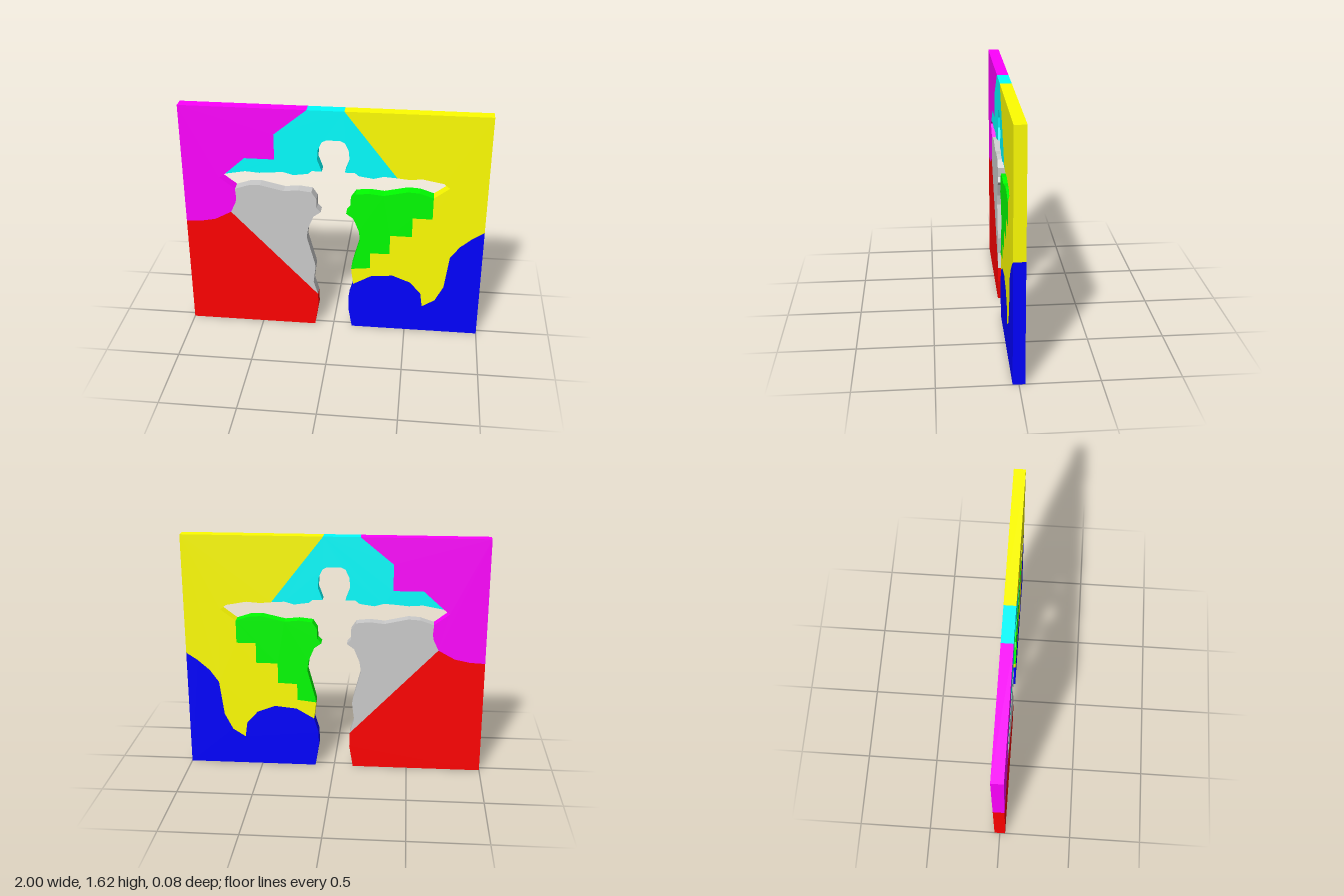
import * as THREE from 'three';

const DEPTH = 0.076, TOP = 1.615;

// Half of the figure-shaped opening, from the foot up to the crown (+x side)
const half = [
  [0.13, 0], [0.105, 0.15], [0.107, 0.25], [0.137, 0.35], [0.122, 0.47], [0.127, 0.5],
  [0.18, 0.7], [0.17, 0.77], [0.133, 0.86], [0.085, 0.895], [0.112, 0.925], [0.112, 0.99],
  [0.145, 1.04], [0.235, 1.05], [0.33, 1.04], [0.487, 1.075], [0.565, 1.07], [0.655, 1.04],
  [0.755, 1.115], [0.715, 1.147], [0.58, 1.172], [0.487, 1.165], [0.415, 1.172], [0.327, 1.178],
  [0.262, 1.16], [0.166, 1.174], [0.14, 1.195], [0.075, 1.195], [0.105, 1.275], [0.1, 1.345],
  [0.075, 1.4], [0.045, 1.415],
];
const leftSide = (a, b) => half.slice(a, b + 1);
const rightSide = (a, b) => leftSide(a, b).map(([x, y]) => [-x, y]);
const rev = (points) => [...points].reverse();

// Seams shared by neighbouring pieces
const curvedSeam = [[-1, 0.78], [-0.9, 0.785], [-0.8, 0.805], [-0.69, 0.865]];
const wristSeam = [[-0.69, 0.865], [-0.655, 0.94], [-0.65, 0.975], [-0.655, 1.04]];
const upperSeam = [[-0.583, 1.265], [-0.385, 1.265], [-0.385, 1.44], [-0.17, TOP]];
const stairSeam = [
  [0.655, 0.885], [0.525, 0.885], [0.525, 0.745], [0.38, 0.745],
  [0.38, 0.605], [0.25, 0.6], [0.25, 0.485],
];
const waveSeam = [
  [0.257, 0.42], [0.405, 0.435], [0.525, 0.388], [0.6, 0.305], [0.615, 0.2], [0.7, 0.255],
  [0.755, 0.365], [0.785, 0.6], [0.845, 0.685], [0.925, 0.755], [1, 0.805],
];

// Extrudes one flat puzzle piece, centred on z = 0
function piece(name, color, outline) {
  const shape = new THREE.Shape(outline.map(([x, y]) => new THREE.Vector2(x, y)));
  const geometry = new THREE.ExtrudeGeometry(shape, { depth: DEPTH, bevelEnabled: false });
  geometry.translate(0, 0, -DEPTH / 2);
  const mesh = new THREE.Mesh(geometry, new THREE.MeshStandardMaterial({ color }));
  mesh.name = name;
  return mesh;
}

export function createModel() {
  const group = new THREE.Group();
  group.name = 'puzzlePanel';
  group.add(
    piece('lowerRightPiece', 0xff0000, [[-1, 0], ...rightSide(0, 2), ...rev(curvedSeam)]),
    piece('underRightArmPiece', 0xcccccc, [...rightSide(2, 17), ...rev(wristSeam)]),
    piece('upperRightPiece', 0xff00ff, [
      ...curvedSeam, ...wristSeam.slice(1), ...rightSide(18, 19), ...upperSeam, [-1, TOP],
    ]),
    piece('headPiece', 0x00ffff, [
      ...rightSide(19, 31), ...rev(leftSide(22, 31)), [0.07, TOP], ...rev(upperSeam),
    ]),
    piece('upperLeftPiece', 0xffff00, [
      [0.07, TOP], ...rev(leftSide(17, 22)), ...stairSeam, ...rev(leftSide(3, 4)),
      ...waveSeam, [1, TOP],
    ]),
    piece('underLeftArmPiece', 0x00ff00, [...leftSide(4, 17), ...stairSeam]),
    piece('lowerLeftPiece', 0x0000ff, [...leftSide(0, 3), ...waveSeam, [1, 0]]),
  );
  return group;
}
